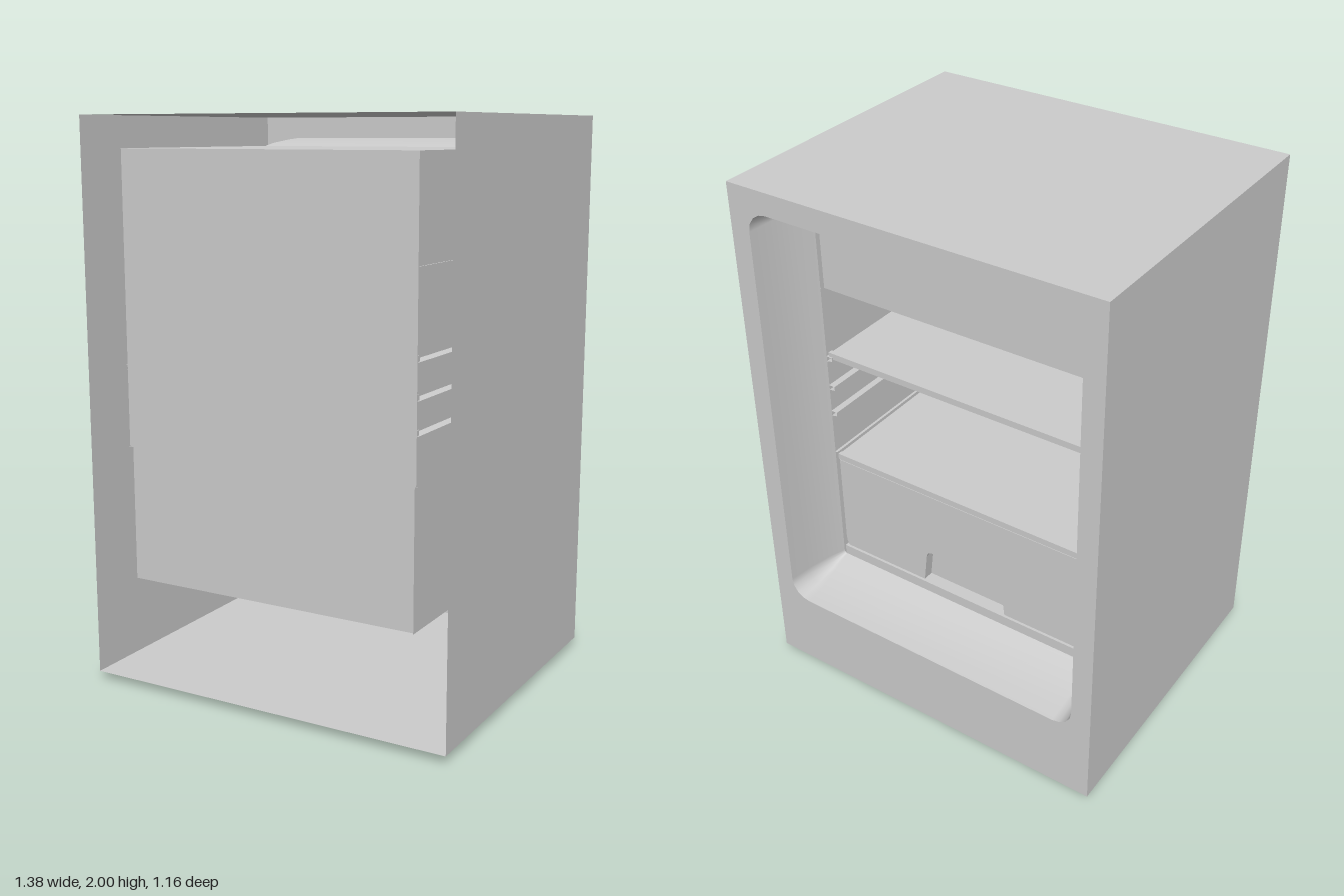
import * as THREE from 'three';

const mat = new THREE.MeshStandardMaterial({ color: 0xcccccc, side: THREE.DoubleSide });
const FRONT = -0.58, BACK = 0.535, LIP = -0.34;

function add(group, name, geometry) {
  const mesh = new THREE.Mesh(geometry, mat);
  mesh.name = name;
  group.add(mesh);
  return mesh;
}

// Box given by its minimum and maximum corners
function box(group, name, x0, x1, y0, y1, z0, z1) {
  const g = new THREE.BoxGeometry(x1 - x0, y1 - y0, z1 - z0);
  return add(group, name, g.translate((x0 + x1) / 2, (y0 + y1) / 2, (z0 + z1) / 2));
}

// Outline of a rectangle with rounded corners
function roundedRect(w, y0, y1, r, steps = 4) {
  const pts = [];
  const centres = [[w - r, y1 - r], [r - w, y1 - r], [r - w, y0 + r], [w - r, y0 + r]];
  centres.forEach(([cx, cy], q) => {
    for (let i = 0; i <= steps; i++) {
      const a = (q + i / steps) * Math.PI / 2;
      pts.push(new THREE.Vector2(cx + r * Math.cos(a), cy + r * Math.sin(a)));
    }
  });
  return pts;
}

// Surface through cross-sections, each a list of points at one z
function loft(sections, closed) {
  const pos = [], index = [], n = sections[0].pts.length;
  for (const { pts, z } of sections) for (const p of pts) pos.push(p.x, p.y, z);
  for (let s = 0; s < sections.length - 1; s++) {
    for (let i = 0; i < (closed ? n : n - 1); i++) {
      const a = s * n + i, b = s * n + (i + 1) % n;
      index.push(a, b, a + n, b, b + n, a + n);
    }
  }
  const g = new THREE.BufferGeometry();
  g.setAttribute('position', new THREE.Float32BufferAttribute(pos, 3));
  g.setIndex(index);
  g.computeVertexNormals();
  return g;
}

function buildCabinet(group) {
  // Outer walls: a box open at both ends
  const walls = new THREE.BoxGeometry(1.38, 1.97, 1.16).translate(0, 1.015, 0);
  walls.setIndex(Array.from(walls.index.array).slice(0, 24));
  add(group, 'cabinetWalls', walls);

  // Door-side frame with a rounded opening
  const frame = new THREE.Shape([[-0.69, 0.03], [0.69, 0.03], [0.69, 2], [-0.69, 2]]
    .map(([x, y]) => new THREE.Vector2(x, y)));
  frame.holes.push(new THREE.Path(roundedRect(0.615, 0.325, 1.92, 0.075).reverse()));
  add(group, 'openingFrame', new THREE.ShapeGeometry(frame).rotateY(Math.PI).translate(0, 0, FRONT));

  // Curved lip narrowing into the liner
  const lip = [[0.615, 0.325, 1.92, 0.075, FRONT], [0.605, 0.335, 1.914, 0.065, -0.5],
    [0.585, 0.36, 1.903, 0.04, -0.41], [0.558, 0.39, 1.89, 0.012, LIP]];
  add(group, 'openingLip', loft(lip.map(([w, y0, y1, r, z]) => ({ pts: roundedRect(w, y0, y1, r), z })), true));

  // Two stepped feet under the opening side
  const foot = [[0, 0], [0.034, 0], [0.04, 0.012], [0.046, 0.016], [0.05, 0.032]]
    .map(([x, y]) => new THREE.Vector2(x, y));
  for (const x of [-0.61, 0.61]) {
    add(group, 'foot', new THREE.LatheGeometry(foot, 16)).position.set(x, 0, -0.5);
  }
}

function buildLiner(group) {
  // Side wall profile with shelf ledges, mirrored and joined by the ceiling
  const side = [[0.55, 0.39], [0.55, 0.87], [0.56, 0.87]];
  for (const y of [1.05, 1.16, 1.28]) {
    side.push([0.56, y - 0.02], [0.535, y - 0.015], [0.535, y], [0.56, y]);
  }
  side.push([0.56, 1.55], [0.555, 1.55], [0.555, 1.89]);
  const outline = [...side, ...side.map(([x, y]) => [-x, y]).reverse()]
    .map(([x, y]) => new THREE.Vector2(x, y));
  const walls = loft([{ pts: outline, z: LIP }, { pts: outline, z: BACK }], false).toNonIndexed();
  walls.computeVertexNormals();
  add(group, 'linerWalls', walls);

  box(group, 'linerFloor', -0.55, 0.55, 0.39, 0.43, LIP, 0.525);
  box(group, 'linerBackUpper', -0.555, 0.555, 0.87, 1.89, 0.52, BACK);
  box(group, 'linerBackLower', -0.55, 0.55, 0.43, 0.87, 0.51, 0.525);
  box(group, 'rearStep', -0.55, 0.55, 0.43, 0.91, 0.22, 0.51);
}

function buildInterior(group) {
  // Freezer compartment with its flap
  box(group, 'freezerFlap', -0.55, 0.55, 1.55, 1.885, -0.33, -0.305);
  box(group, 'freezerBody', -0.54, 0.54, 1.54, 1.88, -0.3, 0.52);

  // Shelves with a raised edge trim
  for (const [y, zBack] of [[1.28, 0.5], [0.845, 0.22]]) {
    box(group, 'shelf', -0.55, 0.55, y, y + 0.012, -0.32, zBack);
    box(group, 'shelfTrim', -0.553, 0.553, y - 0.008, y + 0.016, -0.335, -0.318);
  }

  // Drawer front with a handle notch cut from its lower edge
  const front = new THREE.Shape();
  front.moveTo(-0.55, 0.83);
  front.lineTo(-0.55, 0.47);
  front.quadraticCurveTo(-0.55, 0.415, -0.5, 0.415);
  front.lineTo(-0.18, 0.415);
  front.lineTo(-0.165, 0.545);
  front.quadraticCurveTo(-0.16, 0.57, -0.135, 0.57);
  front.lineTo(0.135, 0.57);
  front.quadraticCurveTo(0.16, 0.57, 0.165, 0.545);
  front.lineTo(0.18, 0.415);
  front.lineTo(0.5, 0.415);
  front.quadraticCurveTo(0.55, 0.415, 0.55, 0.47);
  front.lineTo(0.55, 0.83);
  front.closePath();
  const g = new THREE.ExtrudeGeometry(front, { depth: 0.04, bevelEnabled: false, curveSegments: 5 });
  add(group, 'drawerFront', g.translate(0, 0, -0.33));

  // Drawer tray behind the front
  box(group, 'drawerInnerFront', -0.53, 0.53, 0.43, 0.8, -0.29, -0.275);
  for (const s of [-1, 1]) {
    box(group, 'drawerSide', s * 0.53 - 0.008, s * 0.53 + 0.008, 0.43, 0.8, -0.275, 0.2);
  }
  box(group, 'drawerBack', -0.53, 0.53, 0.43, 0.8, 0.19, 0.205);
  box(group, 'drawerFloor', -0.53, 0.53, 0.432, 0.445, -0.275, 0.2);
}

export function createModel() {
  const model = new THREE.Group();
  model.name = 'miniFridge';
  for (const [name, build] of [['cabinet', buildCabinet], ['liner', buildLiner], ['interior', buildInterior]]) {
    const part = new THREE.Group();
    part.name = name;
    build(part);
    model.add(part);
  }
  return model;
}
